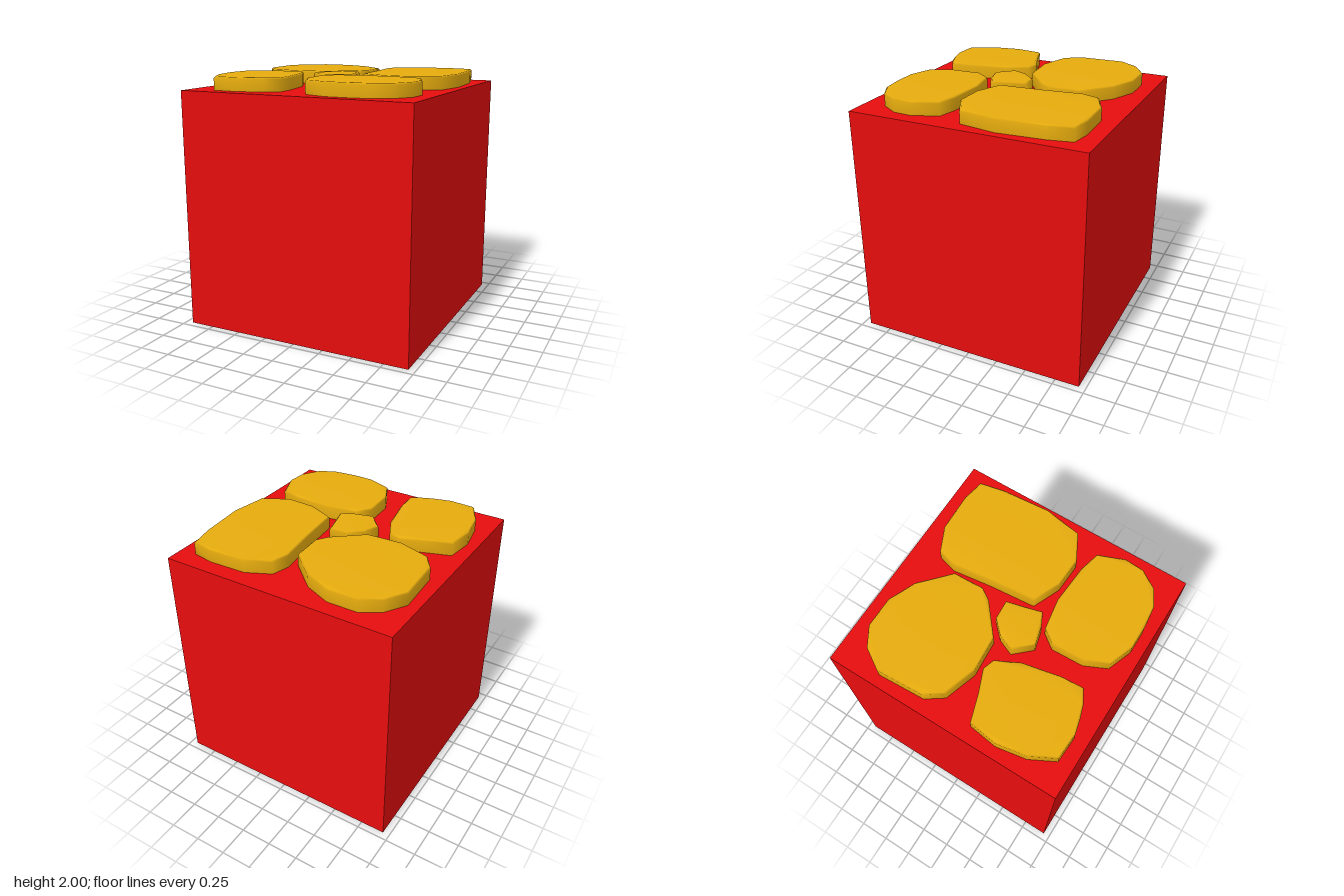
import * as THREE from 'three';
import { mergeVertices } from 'three/addons/utils/BufferGeometryUtils.js';

const SIDE = 1.89;
const TOP = 2;
const BEVEL = 0.012;

// Outlines seen from above, as [x, z] corners
const outlines = {
  backRightStone: [[-0.61, -0.82], [-0.37, -0.82], [-0.16, -0.73], [0.06, -0.53], [0.07, -0.29], [0.01, -0.2],
    [-0.22, -0.01], [-0.5, 0.01], [-0.75, -0.07], [-0.84, -0.2], [-0.86, -0.57], [-0.76, -0.73]],
  backLeftStone: [[0.34, -0.81], [0.64, -0.82], [0.81, -0.79], [0.85, -0.6], [0.88, -0.23], [0.83, 0.07],
    [0.62, 0.18], [0.39, 0.17], [0.18, 0.08], [0.15, -0.27], [0.11, -0.58], [0.15, -0.72]],
  centreStone: [[-0.08, -0.08], [0.07, -0.09], [0.14, 0.18], [0.04, 0.23], [-0.11, 0.27], [-0.23, 0.14], [-0.18, 0.02]],
  frontRightStone: [[-0.45, 0.05], [-0.36, 0.08], [-0.27, 0.26], [-0.21, 0.55], [-0.2, 0.72], [-0.31, 0.78],
    [-0.4, 0.81], [-0.52, 0.84], [-0.72, 0.83], [-0.82, 0.64], [-0.86, 0.41], [-0.83, 0.19], [-0.62, 0.12]],
  frontLeftStone: [[0.28, 0.22], [0.59, 0.24], [0.75, 0.28], [0.83, 0.48], [0.82, 0.63], [0.73, 0.77], [0.6, 0.84],
    [0.42, 0.86], [0.24, 0.86], [0.05, 0.79], [-0.03, 0.62], [-0.04, 0.37], [0.04, 0.26]],
};

// Flat slab with a softened rim; its lower bevel is sunk into the block
function stoneGeometry(points) {
  const shape = new THREE.Shape(points.map(([x, z]) => new THREE.Vector2(x, z)));
  const geometry = new THREE.ExtrudeGeometry(shape, {
    depth: TOP - SIDE - BEVEL,
    bevelThickness: BEVEL,
    bevelSize: BEVEL,
    bevelOffset: -BEVEL,
    bevelSegments: 1,
  });
  geometry.rotateX(Math.PI / 2);
  geometry.translate(0, TOP - BEVEL, 0);
  // Share corners so the rim shades smoothly
  geometry.deleteAttribute('uv');
  geometry.deleteAttribute('normal');
  const smooth = mergeVertices(geometry, 1e-4);
  smooth.computeVertexNormals();
  return smooth;
}

export function createModel() {
  const model = new THREE.Group();
  model.name = 'stoneToppedBlock';
  const red = new THREE.MeshStandardMaterial({ color: 0xe60d0d });
  const gold = new THREE.MeshStandardMaterial({ color: 0xe6ac0e });

  // Cube body
  const block = new THREE.Mesh(new THREE.BoxGeometry(SIDE, SIDE + 0.005, SIDE), red);
  block.name = 'block';
  block.position.y = (SIDE + 0.005) / 2;
  model.add(block);

  // Raised stones on top
  const stones = new THREE.Group();
  stones.name = 'stones';
  for (const [name, points] of Object.entries(outlines)) {
    const stone = new THREE.Mesh(stoneGeometry(points), gold);
    stone.name = name;
    stones.add(stone);
  }
  model.add(stones);
  return model;
}
